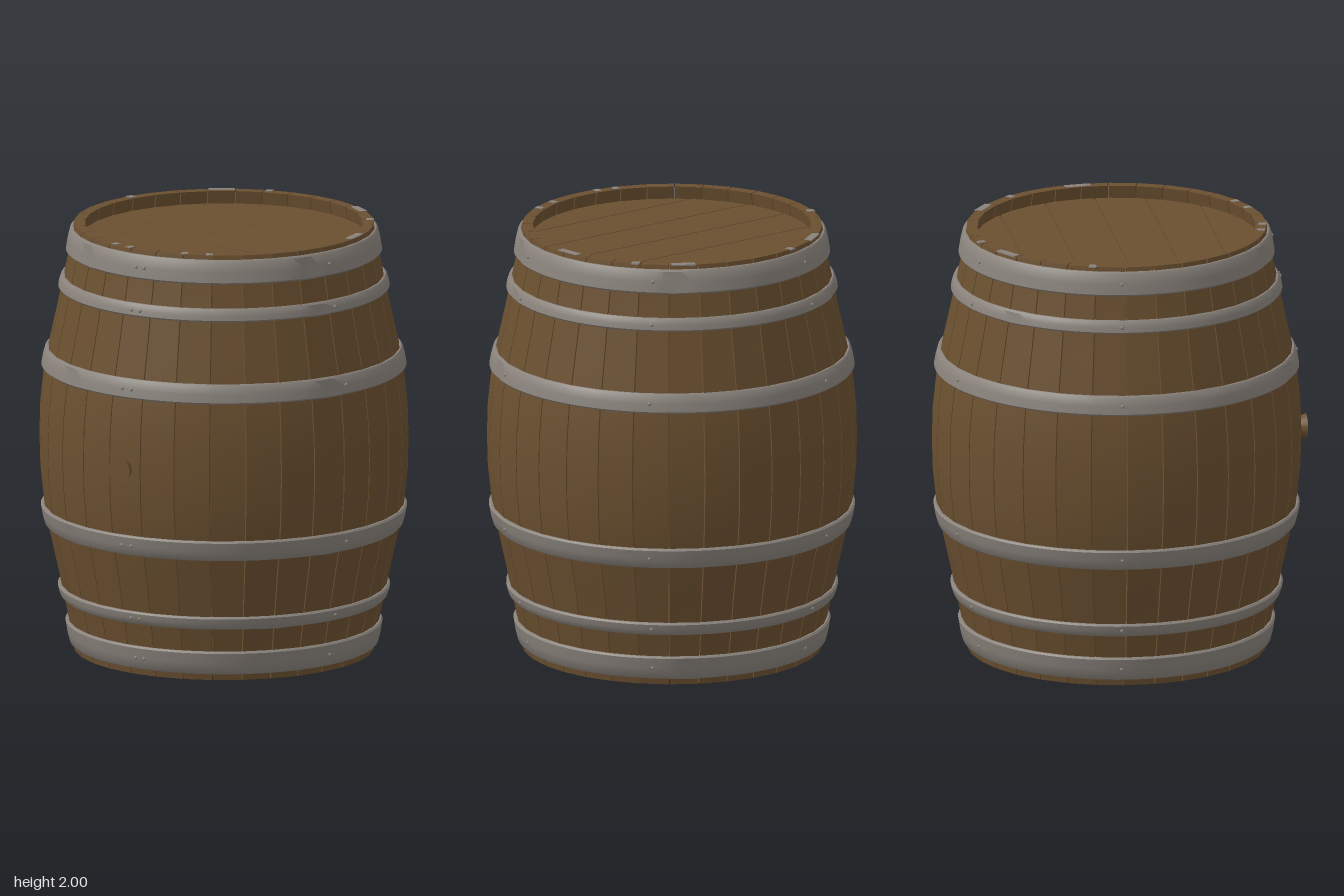
import * as THREE from 'three';
import { toCreasedNormals } from 'three/addons/utils/BufferGeometryUtils.js';

const STAVES = 32, GAP = 0.005, WALL = 0.05, TURN = 0.012;
const wood = new THREE.MeshStandardMaterial({ color: 0x6b5030 });
wood.name = 'wood';
const metal = new THREE.MeshStandardMaterial({ color: 0x8a837c });
metal.name = 'metal';

// Barrel radius by distance from mid height
const BULGE = [[0, 0.85], [0.15, 0.846], [0.3, 0.83], [0.42, 0.808], [0.6, 0.768], [0.75, 0.737], [0.87, 0.712], [1, 0.69]];
function radiusAt(y) {
  const d = Math.min(1, Math.abs(y - 1));
  let i = 1;
  while (i < BULGE.length - 1 && BULGE[i][0] < d) i++;
  const [a, ra] = BULGE[i - 1], [b, rb] = BULGE[i];
  return THREE.MathUtils.lerp(ra, rb, (d - a) / (b - a));
}

function add(parent, name, geometry, material) {
  const mesh = new THREE.Mesh(geometry, material);
  mesh.name = name;
  parent.add(mesh);
  return mesh;
}

// One bent plank: a rectangular section swept up the bulge
function staveGeometry() {
  const ys = [...BULGE.slice(1).reverse().map(p => 1 - p[0]), ...BULGE.map(p => 1 + p[0])];
  const pos = [], index = [];
  for (const y of ys) {
    const r = radiusAt(y);
    const half = r * Math.sin(Math.PI / STAVES) - GAP / 2;
    const zo = r * Math.cos(Math.PI / STAVES), zi = zo - WALL;
    const inner = half * zi / zo;
    pos.push(-half, y, zo, half, y, zo, inner, y, zi, -inner, y, zi);
  }
  for (let k = 0; k < ys.length - 1; k++) {
    for (let j = 0; j < 4; j++) {
      const a = k * 4 + j, b = k * 4 + (j + 1) % 4;
      index.push(a, b, b + 4, a, b + 4, a + 4);
    }
  }
  const t = (ys.length - 1) * 4;
  index.push(0, 2, 1, 0, 3, 2, t, t + 1, t + 2, t, t + 2, t + 3);
  const g = new THREE.BufferGeometry();
  g.setAttribute('position', new THREE.Float32BufferAttribute(pos, 3));
  g.setIndex(index);
  return toCreasedNormals(g, 0.5);
}

// Iron band with bevelled edges and a few hammered dents
function hoopGeometry(y0, y1, dents) {
  const b = 0.008, t = 0.014;
  const r0 = radiusAt(y0), r1 = radiusAt(y1);
  const profile = [
    [r0 - 0.012, y0], [r0 + t - b, y0], [r0 + t, y0 + b], [(r0 + r1) / 2 + t + 0.002, (y0 + y1) / 2],
    [r1 + t, y1 - b], [r1 + t - b, y1], [r1 - 0.012, y1], [r0 - 0.012, y0],
  ].map(p => new THREE.Vector2(...p));
  const g = new THREE.LatheGeometry(profile, 96);
  const p = g.attributes.position;
  for (let i = 0; i < p.count; i++) {
    const x = p.getX(i), y = p.getY(i), z = p.getZ(i), r = Math.hypot(x, z);
    if (r < radiusAt(y) + 0.003) continue;
    const a = Math.atan2(x, z);
    let push = 0;
    for (const d of dents) push += 0.01 * Math.exp(-(((a - d) / 0.06) ** 2));
    const low = y < (y0 + y1) / 2 + 0.005 ? 1 : 0.3;
    const k = 1 - push * low / r;
    p.setXYZ(i, x * k, y - push * (low === 1 ? 0.6 : 0), z * k);
  }
  return toCreasedNormals(g, 0.6);
}

// Round head made of parallel boards
function buildHead(parent, name, y) {
  const head = new THREE.Group();
  head.name = name;
  const R = 0.665, cuts = [-R, -0.475, -0.243, -0.007, 0.224, 0.456, R];
  for (let i = 0; i < cuts.length - 1; i++) {
    const z0 = cuts[i] + (i ? GAP / 2 : 0);
    const z1 = cuts[i + 1] - (i < cuts.length - 2 ? GAP / 2 : 0);
    const a0 = Math.asin(z0 / R), a1 = Math.asin(z1 / R), right = [], left = [];
    for (let k = 0; k <= 12; k++) {
      const a = THREE.MathUtils.lerp(a0, a1, k / 12);
      right.push(new THREE.Vector2(R * Math.cos(a), -R * Math.sin(a)));
      left.unshift(new THREE.Vector2(-R * Math.cos(a), -R * Math.sin(a)));
    }
    const g = new THREE.ExtrudeGeometry(new THREE.Shape([...right, ...left]), { depth: 0.04, bevelEnabled: false });
    g.rotateX(-Math.PI / 2);
    add(head, 'headBoard', g, wood).position.y = y;
  }
  parent.add(head);
}

export function createModel() {
  const barrel = new THREE.Group();
  barrel.name = 'barrel';
  barrel.position.z = -0.015;

  // Staves
  const stave = staveGeometry();
  for (let i = 0; i < STAVES; i++) {
    add(barrel, 'stave', stave, wood).rotation.y = TURN + i * 2 * Math.PI / STAVES;
  }

  // Heads, recessed at both ends
  buildHead(barrel, 'topHead', 1.9);
  buildHead(barrel, 'bottomHead', 0.06);

  // Hoops with their rivets
  const hoops = [
    [0.03, 0.14, [2.6]], [0.25, 0.31, [0.9]], [0.59, 0.685, [-0.43, 1.2]],
    [1.33, 1.42, [-0.43, 1.2]], [1.7, 1.76, [1.2, -2.4]], [1.87, 1.98, [-0.47, 1.15, 2.5]],
  ];
  const rivet = new THREE.SphereGeometry(0.009, 8, 6);
  for (const [y0, y1, dents] of hoops) {
    const hoop = new THREE.Group();
    hoop.name = 'hoop';
    add(hoop, 'band', hoopGeometry(y0, y1, dents), metal);
    const y = (y0 + y1) / 2, r = radiusAt(y) + 0.015;
    for (const a of [-0.015, 0.045, 1.32, 2.36, 3.5, 4.6]) {
      add(hoop, 'rivet', rivet, metal).position.set(r * Math.sin(a), y, r * Math.cos(a));
    }
    barrel.add(hoop);
  }

  // Iron tabs let into the top rim: x, z, length
  const tabs = [
    [-0.38, -0.56, 0.12], [0.37, -0.565, 0.11], [0.66, -0.085, 0.12], [-0.645, -0.205, 0.035], [-0.18, -0.655, 0.03],
    [0.53, -0.415, 0.035], [-0.17, 0.645, 0.03], [-0.08, 0.665, 0.03], [0.2, 0.635, 0.03], [0.31, 0.595, 0.03],
  ];
  for (const [x, z, length] of tabs) {
    const tab = add(barrel, 'rimTab', new THREE.BoxGeometry(length, 0.006, 0.035), metal);
    tab.position.set(x, 1.999, z);
    tab.rotation.y = Math.atan2(x, z);
  }

  // Tapered bung on the front
  const bung = new THREE.CylinderGeometry(0.06, 0.04, 0.06, 24);
  bung.rotateX(Math.PI / 2);
  add(barrel, 'bung', bung, wood).position.set(0, 1, 0.85);

  const model = new THREE.Group();
  model.name = 'model';
  model.add(barrel);
  return model;
}
